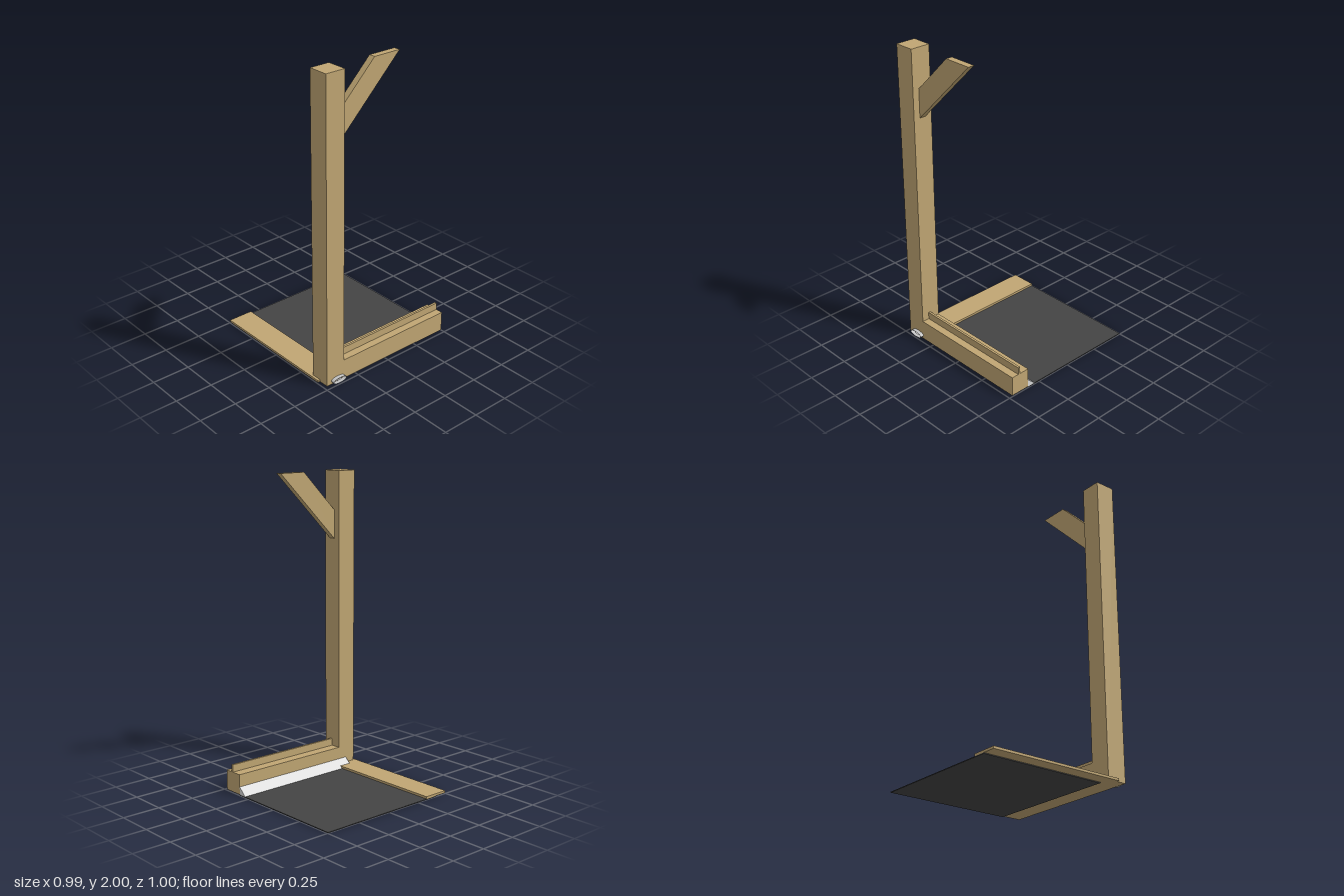
import * as THREE from 'three';

const mat = (name, color, extra = {}) => {
  const m = new THREE.MeshStandardMaterial({ color, ...extra });
  m.name = name;
  return m;
};

export function createModel() {
  const model = new THREE.Group();
  model.name = 'framingCorner';
  const wood = mat('wood', 0xc0a673);
  const membrane = mat('dark membrane', 0x444444);
  const flashing = mat('light flashing', 0xdadada);
  const metal = mat('grey metal', 0xc4c4c4, { side: THREE.DoubleSide });

  const add = (name, geometry, material) => {
    const mesh = new THREE.Mesh(geometry, material);
    mesh.name = name;
    model.add(mesh);
    return mesh;
  };
  // Box given by its limits on each axis
  const box = (name, material, [x0, x1], [y0, y1], [z0, z1]) =>
    add(name, new THREE.BoxGeometry(x1 - x0, y1 - y0, z1 - z0), material)
      .position.set((x0 + x1) / 2, (y0 + y1) / 2, (z0 + z1) / 2);
  const extrude = (points, depth) => new THREE.ExtrudeGeometry(
    new THREE.Shape(points.map(([x, y]) => new THREE.Vector2(x, y))),
    { depth, bevelEnabled: false });

  // Timber frame
  box('post', wood, [-0.48, -0.346], [0.005, 2], [0.342, 0.475]);
  box('sillBeam', wood, [-0.346, 0.497], [0.005, 0.137], [0.342, 0.475]);
  box('sillTongue', wood, [-0.346, 0.497], [0.137, 0.185], [0.41, 0.425]);

  // Diagonal brace, cut level at the top
  add('brace', extrude([[-0.346, 1.558], [0.1, 2], [-0.09, 2], [-0.346, 1.745]], 0.043), wood)
    .position.z = 0.388;

  // Notched floor board, shape drawn in x and -z
  const board = add('floorBoard', extrude([
    [-0.497, -0.407], [-0.41, -0.407], [-0.41, -0.305],
    [-0.327, -0.305], [-0.327, 0.5], [-0.497, 0.5],
  ], 0.015), wood);
  board.rotation.x = -Math.PI / 2;
  board.position.y = 0.005;

  // Thin ground sheet running under the board
  box('membrane', membrane, [-0.41, 0.497], [0, 0.005], [-0.5, 0.342]);

  // Sloped fillet along the back of the beam, shape drawn in -z and y
  const fillet = add('filletStrip', extrude([[-0.342, 0.005], [-0.287, 0.005], [-0.342, 0.056]], 0.907), flashing);
  fillet.rotation.y = Math.PI / 2;
  fillet.position.x = -0.41;

  // Open oval sleeves on the front of the post
  const sleeve = (name, rx, ry, depth) => {
    const g = new THREE.CylinderGeometry(1, 1, depth, 32, 1, true);
    g.rotateX(Math.PI / 2);
    g.scale(rx, ry, 1);
    add(name, g, metal).position.set(-0.396, 0.028, 0.475 + depth / 2);
  };
  sleeve('outerSleeve', 0.051, 0.018, 0.025);
  sleeve('innerSleeve', 0.024, 0.009, 0.011);

  return model;
}
